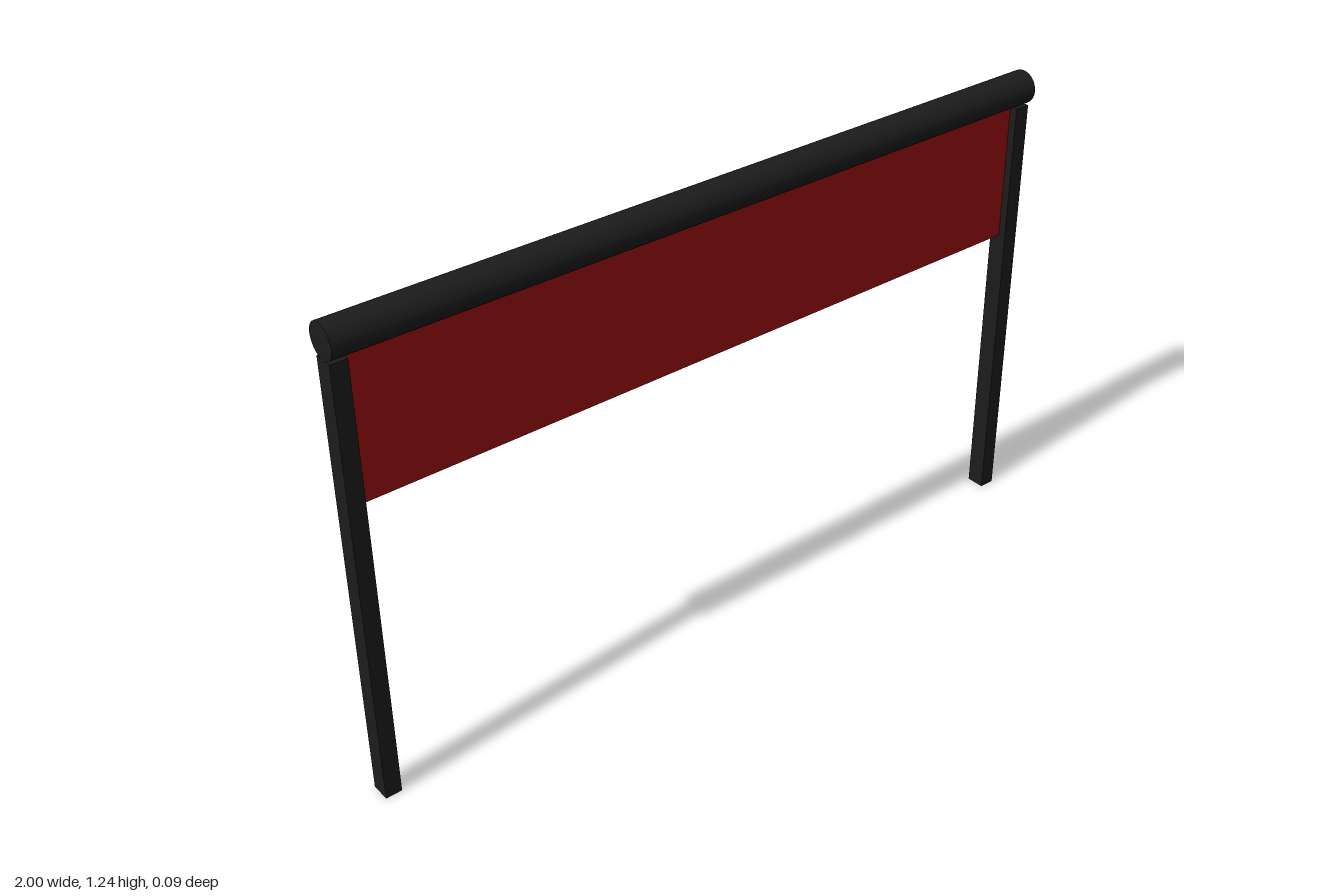
import * as THREE from 'three';

export function createModel() {
  const group = new THREE.Group();
  const black = new THREE.MeshStandardMaterial({ color: 0x1c1c1c });
  const red = new THREE.MeshStandardMaterial({ color: 0x990c0c });

  const add = (name, geometry, material, x, y) => {
    const mesh = new THREE.Mesh(geometry, material);
    mesh.name = name;
    mesh.position.set(x, y, 0);
    group.add(mesh);
    return mesh;
  };

  const railRadius = 0.043;
  const postWidth = 0.042;
  const postHeight = 1.153;

  // Square posts at both ends
  for (const [name, side] of [['leftPost', 1], ['rightPost', -1]]) {
    add(name, new THREE.BoxGeometry(postWidth, postHeight, 0.05), black,
      side * (1 - postWidth / 2), postHeight / 2);
  }

  // Round rail resting on the posts
  const rail = add('topRail', new THREE.CylinderGeometry(railRadius, railRadius, 2, 32),
    black, 0, postHeight + railRadius);
  rail.rotation.z = Math.PI / 2;

  // Thin panel hanging between the posts
  const panelBottom = 0.792;
  const panelTop = postHeight + 0.005;
  add('panel', new THREE.BoxGeometry(2 - 2 * postWidth, panelTop - panelBottom, 0.008),
    red, 0, (panelTop + panelBottom) / 2);

  return group;
}
